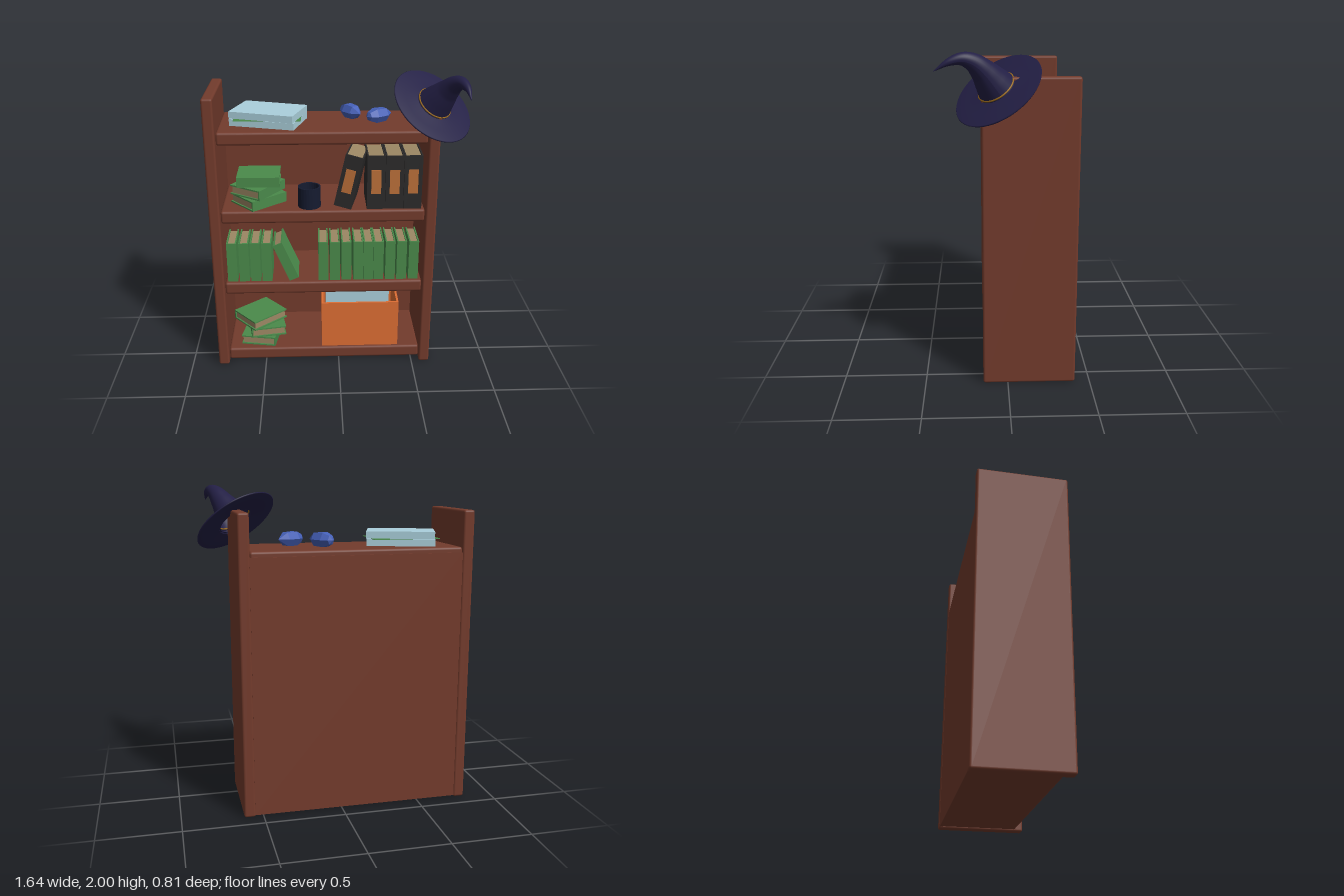
import * as THREE from 'three';
import { RoundedBoxGeometry } from 'three/addons/geometries/RoundedBoxGeometry.js';

const mat = (color, extra = {}) => {
  const m = new THREE.MeshStandardMaterial({ color });
  return Object.assign(m, extra);
};
const WOOD = mat(0x733b2c), GREEN = mat(0x4a8a4b), PAGES = mat(0x9c8763);
const BLACK = mat(0x2c2b2b), LABEL = mat(0xbd703a), ORANGE = mat(0xde6e34);
const PAPER = mat(0xabd0dc), CRYSTAL = mat(0x4560b8, { flatShading: true });
const CUP = mat(0x151b30, { side: THREE.DoubleSide });
const HAT = mat(0x231f45, { side: THREE.DoubleSide }), BAND = mat(0x9a6a1a);

function add(parent, name, geometry, material, x = 0, y = 0, z = 0) {
  const m = new THREE.Mesh(geometry, material);
  m.name = name;
  m.position.set(x, y, z);
  parent.add(m);
  return m;
}
// Box given by its limits
function block(parent, name, material, [x0, x1], [y0, y1], [z0, z1], r = 0) {
  const s = [x1 - x0, y1 - y0, z1 - z0];
  const g = r ? new RoundedBoxGeometry(...s, 2, r) : new THREE.BoxGeometry(...s);
  return add(parent, name, g, material, (x0 + x1) / 2, (y0 + y1) / 2, (z0 + z1) / 2);
}
function group(parent, name, x = 0, y = 0, z = 0) {
  const g = new THREE.Group();
  g.name = name;
  g.position.set(x, y, z);
  parent.add(g);
  return g;
}

// Book or binder centred on its origin: thickness x, height y, spine at +z
function book(parent, name, cover, w, h, d, x, y, z) {
  const g = group(parent, name, x, y, z);
  const t = 0.009;
  for (const s of [-1, 1]) {
    add(g, 'coverBoard', new THREE.BoxGeometry(t, h, d), cover, s * (w - t) / 2, 0, 0);
  }
  add(g, 'spine', new THREE.BoxGeometry(w - 2 * t, h, t), cover, 0, 0, (d - t) / 2);
  add(g, 'pages', new THREE.BoxGeometry(w - 2 * t, h - 0.02, d - t - 0.01), PAGES, 0, 0, 0);
  return g;
}
const BOOK = [0.065, 0.275, 0.235];

// Flat books piled up, each [x, z, yaw]
function stack(parent, name, y, list) {
  const g = group(parent, name);
  list.forEach(([x, z, yaw], i) => {
    const b = book(g, 'flatBook', GREEN, ...BOOK, x, y + 0.034 + i * 0.069, z);
    b.rotation.set(0, yaw, Math.PI / 2);
  });
}

function addShelf(root) {
  const g = group(root, 'bookcase');
  for (const x of [-0.82, 0.55]) {
    block(g, 'sidePanel', WOOD, [x, x + 0.07], [0, 1.855], [-0.41, 0.15], 0.014);
  }
  for (const y of [0.01, 0.52, 1.03, 1.55]) {
    block(g, 'shelf', WOOD, [-0.752, 0.552], [y, y + 0.083], [-0.4, 0.1], 0.016);
  }
  block(g, 'backPanel', WOOD, [-0.752, 0.552], [0.01, 1.6], [-0.405, -0.385]);
}

function addBooks(root) {
  const row = group(root, 'bookRow');
  const xs = [-0.733, -0.654, -0.58, -0.505, -0.133, -0.057, 0.019, 0.098, 0.165, 0.232, 0.309, 0.384, 0.463];
  xs.forEach((x) => book(row, 'uprightBook', GREEN, ...BOOK, x + 0.033, 0.741, -0.042));
  book(row, 'leaningBook', GREEN, ...BOOK, -0.347, 0.742, -0.042).rotation.z = 0.395;

  stack(root, 'lowerBookStack', 0.092, [[-0.53, -0.08, 1.4], [-0.5, -0.08, -1.4], [-0.54, -0.08, 0.71 + Math.PI]]);
  stack(root, 'upperBookStack', 1.114, [[-0.517, -0.07, 0.71], [-0.52, -0.08, 0.97], [-0.51, -0.08, 0]]);

  // Ring binders with spine labels, the first one leaning on the others
  const binders = group(root, 'binders');
  [0.125, 0.238, 0.355, 0.472].forEach((x, i) => {
    const b = book(binders, 'binder', BLACK, 0.115, 0.355, 0.28, x, 1.292, -0.06);
    add(b, 'label', new THREE.BoxGeometry(0.063, 0.16, 0.004), LABEL, 0, 0.005, 0.141);
    if (i === 0) {
      b.position.set(0.09, 1.297, -0.06);
      b.rotation.set(0, -0.2, -0.22);
    }
  });
}

function addBoxAndPapers(root) {
  // Open storage box
  const g = group(root, 'storageBox');
  const [x0, x1, y0, y1, z0, z1, t] = [-0.115, 0.407, 0.09, 0.428, -0.3, 0.08, 0.014];
  block(g, 'boxFloor', ORANGE, [x0, x1], [y0, y0 + t], [z0, z1]);
  block(g, 'boxFront', ORANGE, [x0, x1], [y0, y1], [z1 - t, z1]);
  block(g, 'boxBack', ORANGE, [x0, x1], [y0, y1], [z0, z0 + t]);
  block(g, 'boxSide', ORANGE, [x0, x0 + t], [y0, y1], [z0 + t, z1 - t]);
  block(g, 'boxSide', ORANGE, [x1 - t, x1], [y0, y1], [z0 + t, z1 - t]);
  block(g, 'boxPapers', PAPER, [-0.083, 0.342], [0.12, 0.503], [-0.25, 0.045]);

  // Paper pile on top, with a sheet of green card between the halves
  const pile = group(root, 'paperPile', -0.438, 1.632, -0.137);
  const sheets = new THREE.BoxGeometry(0.422, 0.044, 0.29);
  add(pile, 'papers', sheets, PAPER, 0, 0.022, 0).rotation.y = -0.285;
  add(pile, 'papers', sheets, PAPER, 0, 0.068, 0).rotation.y = -0.316;
  add(pile, 'cardSheet', new THREE.BoxGeometry(0.42, 0.003, 0.3), GREEN, 0, 0.045, -0.005).rotation.y = -0.03;
}

function addCup(root) {
  const pts = [[0, 0], [0.073, 0], [0.073, 0.135], [0.062, 0.135], [0.062, 0.015], [0, 0.015]];
  const profile = pts.map((p) => new THREE.Vector2(...p));
  const m = mat(0x151b30, { side: THREE.DoubleSide, flatShading: true });
  add(root, 'cup', new THREE.LatheGeometry(profile, 24), m, -0.186, 1.114, 0.01);
}

function addCrystals(root) {
  const pts = [[0, -0.095], [0.03, -0.08], [0.05, -0.035], [0.046, 0.04], [0, 0.095]];
  const geo = new THREE.LatheGeometry(pts.map((p) => new THREE.Vector2(...p)), 6);
  for (const [x, z, yaw] of [[0.09, -0.207, -0.95], [0.265, -0.118, 0.55]]) {
    const c = group(root, 'crystal', x, 1.679, z);
    c.rotation.y = yaw;
    add(c, 'gem', geo, CRYSTAL).rotation.z = -Math.PI / 2;
  }
}

function addHat(root) {
  const hat = group(root, 'pointedHat');
  const n = new THREE.Vector3(0.435, 0.75, 0.5).normalize();
  const tilt = group(hat, 'brimGroup', 0.575, 1.78, 0.055);
  tilt.quaternion.setFromUnitVectors(new THREE.Vector3(0, 1, 0), n);
  const pts = [[0.108, 0], [0.2, -0.004], [0.268, -0.006], [0.272, 0], [0.268, 0.005], [0.2, 0.008], [0.108, 0.016]];
  add(tilt, 'brim', new THREE.LatheGeometry(pts.map((p) => new THREE.Vector2(...p)), 48), HAT);
  add(tilt, 'band', new THREE.TorusGeometry(0.11, 0.005, 8, 48), BAND, 0, 0.025, 0).rotation.x = Math.PI / 2;

  // Crown: a tube narrowed along its bent path
  const path = new THREE.CatmullRomCurve3([
    [0.575, 1.78, 0.055], [0.61, 1.835, 0.095], [0.647, 1.893, 0.14], [0.678, 1.94, 0.19],
    [0.706, 1.962, 0.25], [0.727, 1.947, 0.32], [0.735, 1.9, 0.4],
  ].map((p) => new THREE.Vector3(...p)));
  const radii = [0.118, 0.095, 0.07, 0.052, 0.036, 0.021, 0.001];
  const rows = 36, sides = 28;
  const geo = new THREE.TubeGeometry(path, rows, 1, sides);
  const pos = geo.attributes.position, v = new THREE.Vector3();
  for (let i = 0; i <= rows; i++) {
    const c = path.getPointAt(i / rows);
    const f = path.getUtoTmapping(i / rows) * (radii.length - 1);
    const k = Math.min(Math.floor(f), radii.length - 2);
    const r = THREE.MathUtils.lerp(radii[k], radii[k + 1], f - k);
    for (let j = 0; j <= sides; j++) {
      const id = i * (sides + 1) + j;
      v.fromBufferAttribute(pos, id).sub(c).multiplyScalar(r).add(c);
      pos.setXYZ(id, v.x, v.y, v.z);
    }
  }
  geo.computeVertexNormals();
  add(hat, 'crown', geo, HAT);
}

export function createModel() {
  const root = new THREE.Group();
  root.name = 'bookcaseWithHat';
  [addShelf, addBooks, addBoxAndPapers, addCup, addCrystals, addHat].forEach((f) => f(root));
  return root;
}
